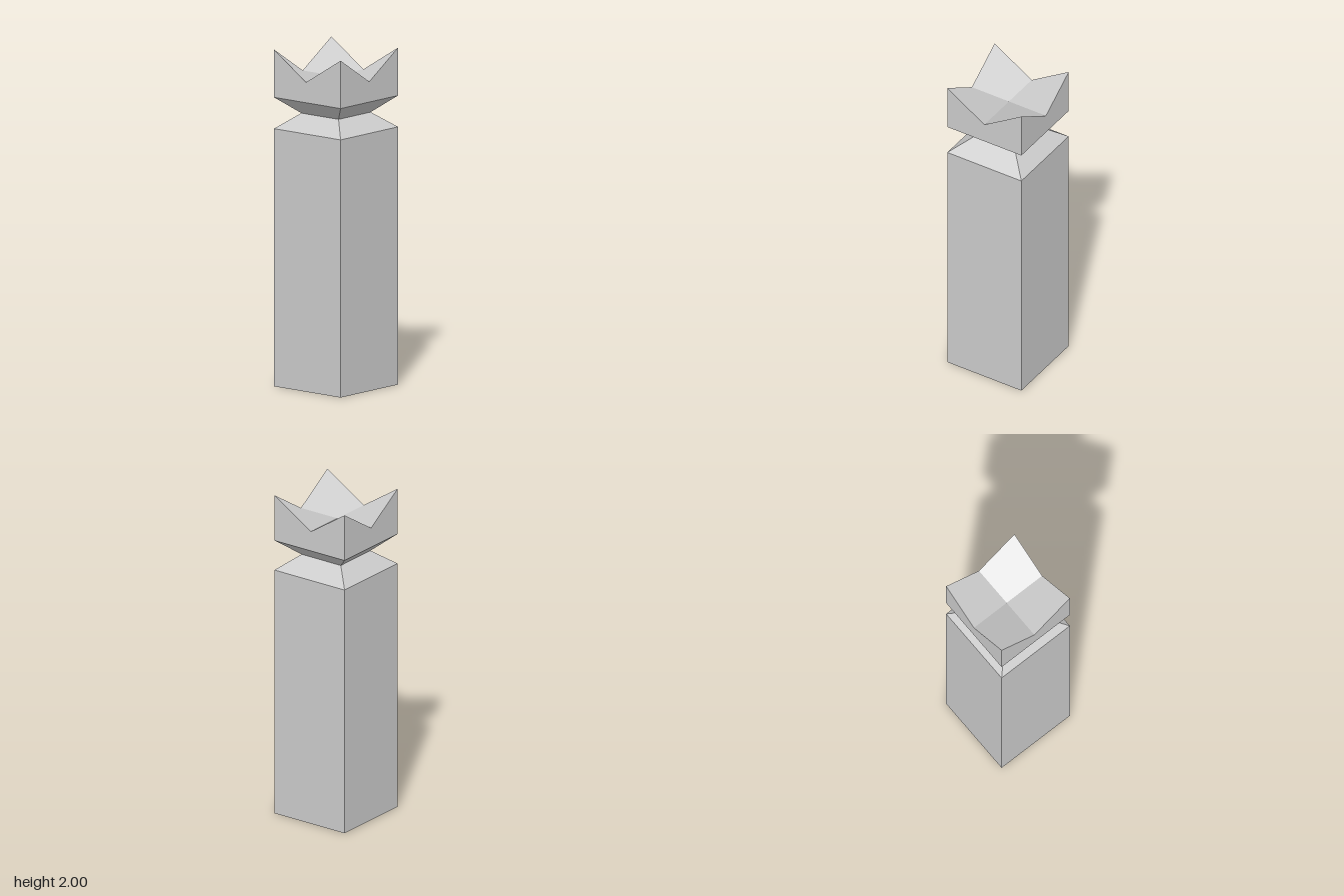
import * as THREE from 'three';

const HALF = 0.256;    // half width of the post and head
const WAIST = 0.143;   // half width of the neck
const NOTCH_Y = 1.837; // lowest point of the notched rim
const NOTCH_Z = -0.01; // notches on the two sides sit slightly back
const HEAD_Y = 1.716;
const TOP = 2;

function material(flat) {
  return new THREE.MeshStandardMaterial({ color: 0xcccccc, flatShading: flat, side: THREE.DoubleSide });
}

// Square tapered section from y0 to y1, with half widths h0 and h1
function section(name, y0, y1, h0, h1, open) {
  const g = new THREE.CylinderGeometry(h1 * Math.SQRT2, h0 * Math.SQRT2, y1 - y0, 4, 1, open);
  g.rotateY(Math.PI / 4);
  g.translate(0, (y0 + y1) / 2, 0);
  const mesh = new THREE.Mesh(g, material(true));
  mesh.name = name;
  return mesh;
}

// Upright head wall with a V cut into its upper edge
function headWall(angle, notch) {
  const shape = new THREE.Shape([
    new THREE.Vector2(-HALF, HEAD_Y),
    new THREE.Vector2(HALF, HEAD_Y),
    new THREE.Vector2(HALF, TOP),
    new THREE.Vector2(notch, NOTCH_Y),
    new THREE.Vector2(-HALF, TOP),
  ]);
  const g = new THREE.ShapeGeometry(shape);
  g.translate(0, 0, HALF);
  g.rotateY(angle);
  const mesh = new THREE.Mesh(g, material(true));
  mesh.name = 'headWall';
  return mesh;
}

// One quarter of the top, rising from the middle to a corner, shaded as one facet
function topQuarter(sx, sz) {
  const x = sx * HALF, z = sz * HALF;
  const center = [0, NOTCH_Y, NOTCH_Z];
  const side = [x, NOTCH_Y, NOTCH_Z];
  const end = [0, NOTCH_Y, z];
  const corner = [x, TOP, z];
  const tris = sx * sz > 0
    ? [center, end, side, side, end, corner]
    : [center, side, end, end, side, corner];
  const g = new THREE.BufferGeometry();
  g.setAttribute('position', new THREE.Float32BufferAttribute(tris.flat(), 3));
  const slope = (TOP - NOTCH_Y) / HALF / 2;
  const n = new THREE.Vector3(-sx * slope, 1, -sz * slope).normalize();
  g.setAttribute('normal', new THREE.Float32BufferAttribute(tris.flatMap(() => n.toArray()), 3));
  const mesh = new THREE.Mesh(g, material(false));
  mesh.name = 'topQuarter';
  return mesh;
}

export function createModel() {
  const model = new THREE.Group();
  model.name = 'notchedPost';

  // Post, shoulder and flared underside of the head
  model.add(section('post', 0, 1.53, HALF, HALF, false));
  model.add(section('shoulder', 1.53, 1.62, HALF, WAIST, true));
  model.add(section('flare', 1.62, HEAD_Y, WAIST, HALF, true));

  // Crown-like head
  const head = new THREE.Group();
  head.name = 'head';
  head.add(headWall(0, 0), headWall(Math.PI, 0));
  head.add(headWall(Math.PI / 2, -NOTCH_Z), headWall(-Math.PI / 2, NOTCH_Z));
  for (const sx of [-1, 1]) for (const sz of [-1, 1]) head.add(topQuarter(sx, sz));
  model.add(head);
  return model;
}
